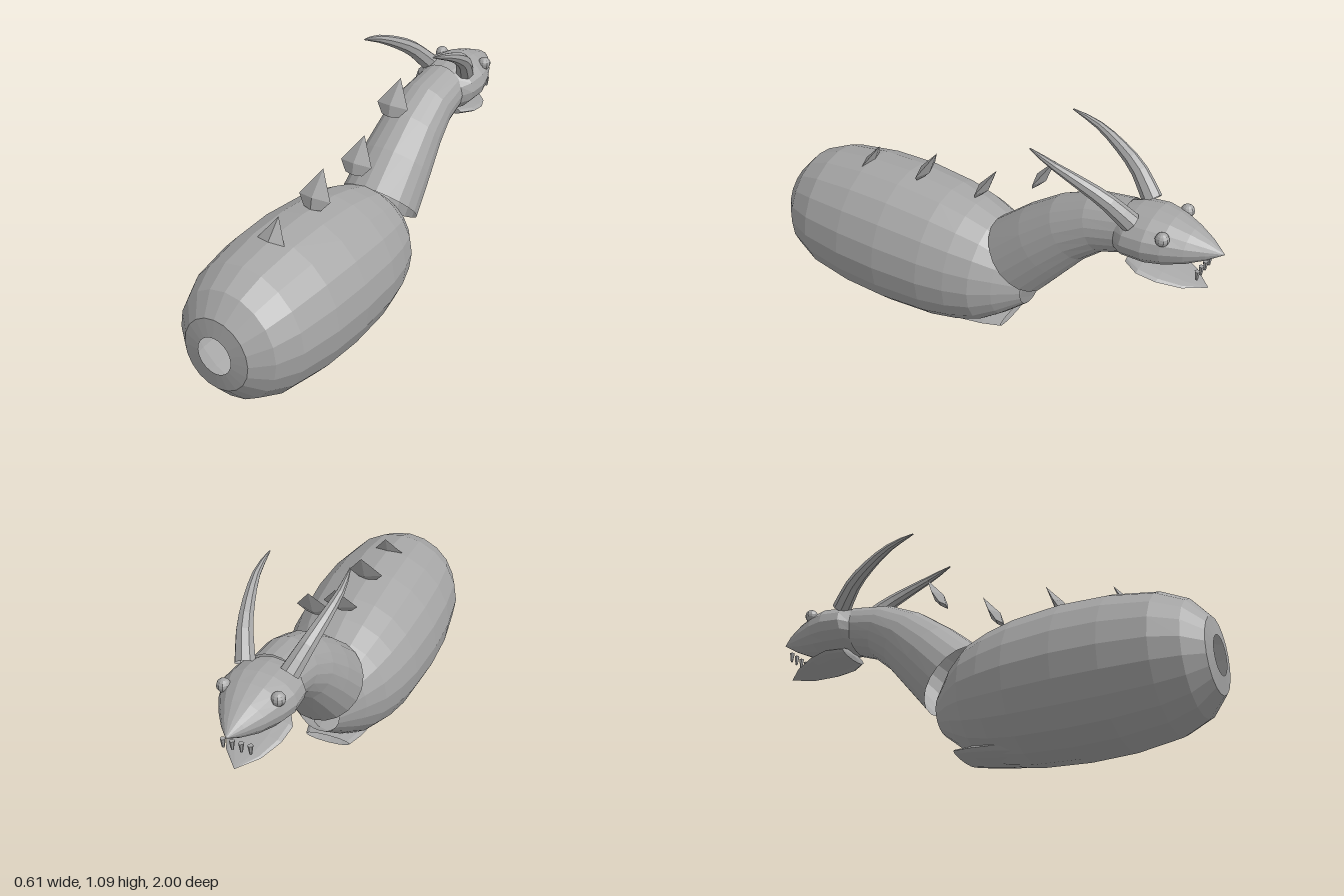
import * as THREE from 'three';

const grey = new THREE.MeshStandardMaterial({ color: 0xa6a6a6, flatShading: true, side: THREE.DoubleSide });
grey.name = 'plain grey';

// Joins elliptical rings; each ring is [top z, top y, bottom z, bottom y, half width]
function loft(rings, sides) {
  const pos = [];
  const point = ([zt, yt, zb, yb, w], i) => {
    const a = (i % sides) / sides * Math.PI * 2, c = Math.cos(a) / 2;
    return [w * Math.sin(a), (yt + yb) / 2 + (yt - yb) * c, (zt + zb) / 2 + (zt - zb) * c];
  };
  for (let r = 0; r < rings.length - 1; r++) {
    const lo = rings[r], hi = rings[r + 1];
    for (let i = 0; i < sides; i++) {
      const a = point(lo, i), b = point(lo, i + 1), c = point(hi, i + 1), d = point(hi, i);
      if (lo[4] > 0) pos.push(...a, ...b, ...c);
      if (hi[4] > 0) pos.push(...a, ...c, ...d);
    }
  }
  const g = new THREE.BufferGeometry();
  g.setAttribute('position', new THREE.Float32BufferAttribute(pos, 3));
  g.computeVertexNormals();
  return g;
}

// Tapered tube along a curve
function taperedTube(points, radiusAt, segments, sides) {
  const curve = new THREE.CatmullRomCurve3(points.map(p => new THREE.Vector3(...p)));
  const g = new THREE.TubeGeometry(curve, segments, 1, sides);
  const p = g.attributes.position, uv = g.attributes.uv, v = new THREE.Vector3();
  for (let i = 0; i < p.count; i++) {
    const t = uv.getX(i), c = curve.getPointAt(t);
    v.fromBufferAttribute(p, i).sub(c).multiplyScalar(radiusAt(t)).add(c);
    p.setXYZ(i, v.x, v.y, v.z);
  }
  g.computeVertexNormals();
  return g;
}

export function createModel() {
  const model = new THREE.Group();
  model.name = 'hornedCreature';
  const add = (name, geometry, x = 0, y = 0, z = 0) => {
    const mesh = new THREE.Mesh(geometry, grey);
    mesh.name = name;
    mesh.position.set(x, y, z);
    model.add(mesh);
    return mesh;
  };

  // Barrel body, open at both ends: [z, radius, centre height]
  const bodyProfile = [
    [1, 0.08, 0.32], [0.99, 0.155, 0.32], [0.92, 0.235, 0.322], [0.81, 0.285, 0.324],
    [0.62, 0.314, 0.325], [0.43, 0.32, 0.325], [0.22, 0.305, 0.322], [0.1, 0.28, 0.32],
    [0, 0.245, 0.32], [-0.08, 0.185, 0.315], [-0.17, 0.093, 0.298],
  ];
  add('body', loft(bodyProfile.map(([z, r, y]) => [z, y + r, z, y - r, r * 0.95]), 20));

  // Small open flap under the body
  add('bellyFlap', loft([
    [0.3, 0.07, 0.3, 0.02, 0.1], [0.1, 0.105, 0.1, 0.043, 0.13],
    [0, 0.11, 0, 0.06, 0.12], [-0.08, 0.112, -0.08, 0.075, 0.1],
  ], 12));

  // Curved neck
  add('neck', loft([
    [0, 0.56, -0.24, 0.315, 0.168], [-0.14, 0.68, -0.35, 0.45, 0.155],
    [-0.28, 0.78, -0.44, 0.56, 0.138], [-0.43, 0.85, -0.52, 0.63, 0.122],
    [-0.6, 0.88, -0.6, 0.66, 0.112],
  ], 20));

  // Pointed head
  add('head', loft([
    [-0.59, 0.865, -0.59, 0.675, 0.115], [-0.64, 0.88, -0.62, 0.675, 0.145],
    [-0.72, 0.89, -0.72, 0.678, 0.15], [-0.79, 0.882, -0.79, 0.69, 0.13],
    [-0.87, 0.858, -0.87, 0.715, 0.092], [-0.94, 0.828, -0.94, 0.75, 0.048],
    [-1, 0.79, -1, 0.79, 0],
  ], 16));

  // Lower jaw
  add('lowerJaw', loft([
    [-0.63, 0.665, -0.63, 0.665, 0], [-0.635, 0.682, -0.635, 0.645, 0.085],
    [-0.7, 0.674, -0.7, 0.637, 0.12], [-0.78, 0.655, -0.78, 0.625, 0.11],
    [-0.87, 0.632, -0.87, 0.613, 0.07], [-0.95, 0.612, -0.95, 0.612, 0],
  ], 12));

  // Row of hanging teeth
  for (let i = 0; i < 4; i++) {
    add('tooth', new THREE.CylinderGeometry(0.011, 0.005, 0.04, 6), (i - 1.5) * 0.036, 0.695, -0.92);
  }

  // Eyes and horns, mirrored
  const horn = side => taperedTube([
    [0.088, 0.855, -0.65], [0.128, 0.945, -0.56], [0.158, 1.015, -0.44],
    [0.17, 1.055, -0.35], [0.164, 1.088, -0.25],
  ].map(([x, y, z]) => [x * side, y, z]), t => 0.038 * (1 - t) ** 0.75 + 0.003, 8, 8);
  for (const side of [1, -1]) {
    add(side > 0 ? 'leftEye' : 'rightEye', new THREE.SphereGeometry(0.028, 10, 8), 0.107 * side, 0.845, -0.79);
    add(side > 0 ? 'leftHorn' : 'rightHorn', horn(side));
  }

  // Floating back spikes: position of each base
  const spike = loft([
    [0, 0, 0, 0, 0], [0.012, 0, -0.012, 0, 0.04],
    [0.002, 0.048, -0.04, 0.03, 0.074], [-0.08, 0.14, -0.08, 0.14, 0],
  ], 4);
  for (const [y, z] of [[0.572, 0.665], [0.64, 0.37], [0.66, 0.08], [0.808, -0.19]]) {
    add('backSpike', spike, 0, y, z);
  }
  return model;
}
